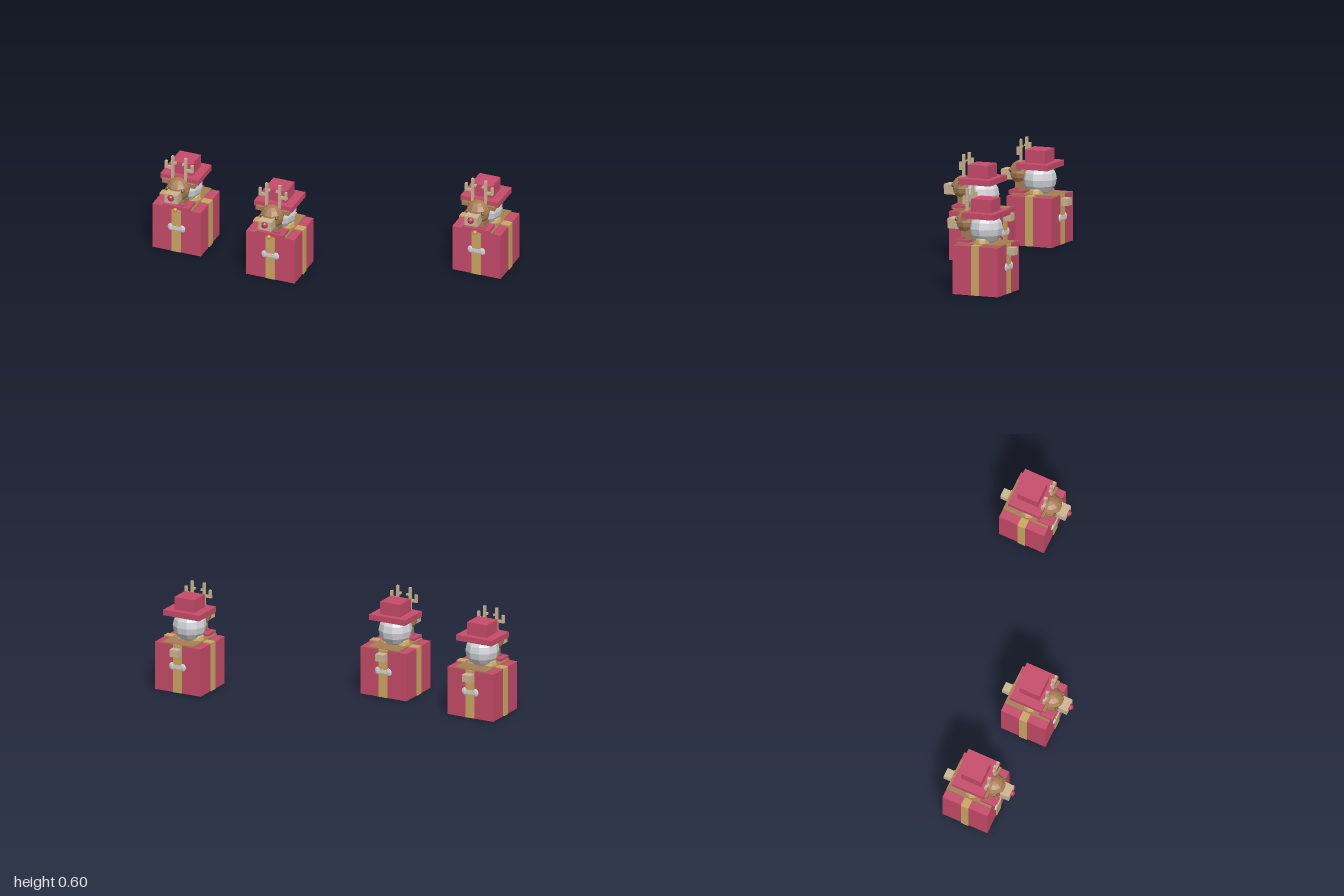
import * as THREE from 'three';

const mat = (name, color) => {
  const m = new THREE.MeshStandardMaterial({ color, flatShading: true });
  m.name = name;
  return m;
};

export function createModel() {
  const red = mat('giftRed', 0xc64b69);
  const gold = mat('ribbonGold', 0xcaa862);
  const bellGold = mat('bellGold', 0xd0a044);
  const brown = mat('furBrown', 0xa87d54);
  const tan = mat('antlerTan', 0xcbb592);
  const white = mat('snowWhite', 0xd2d4d8);
  const dark = mat('eyeBrown', 0x7d5a3a);
  const noseRed = mat('noseRed', 0xc03858);

  // One reindeer gift box with its centre on the origin
  function reindeerGift() {
    const g = new THREE.Group();
    const add = (name, geo, m, x, y, z) => {
      const mesh = new THREE.Mesh(geo, m);
      mesh.name = name;
      mesh.position.set(x, y, z);
      g.add(mesh);
      return mesh;
    };
    // Box given by its centre in x and z, and its lower and upper y
    const box = (name, m, w, y0, y1, d, x = 0, z = 0) =>
      add(name, new THREE.BoxGeometry(w, y1 - y0, d), m, x, (y0 + y1) / 2, z);
    const ball = (name, m, r, x, y, z, ws = 10, hs = 8) =>
      add(name, new THREE.SphereGeometry(r, ws, hs), m, x, y, z);

    // Gift box and crossed ribbons
    box('giftBox', red, 0.3, 0, 0.284, 0.282);
    box('sideRibbon', gold, 0.312, 0.001, 0.29, 0.047);
    box('frontRibbon', gold, 0.056, 0.001, 0.289, 0.292);
    box('backFur', brown, 0.2, 0.28, 0.292, 0.281);

    // White bows on front and back
    for (const s of [1, -1]) {
      box('bowBar', white, 0.08, 0.146, 0.168, 0.008, 0, s * 0.145);
      for (const k of [1, -1]) {
        const end = ball('bowEnd', white, 0.02, k * 0.036, 0.157, s * 0.143, 8, 6);
        end.scale.set(0.95, 1.15, 0.4);
      }
    }

    // Gold knots below the snowball
    for (const s of [1, -1]) ball('knot', gold, 0.045, s * 0.05, 0.29, 0, 8, 6);

    // Snowball and hat
    ball('snowball', white, 0.098, 0, 0.372, 0);
    box('hatBrim', red, 0.235, 0.437, 0.47, 0.2);
    box('hatCrown', red, 0.13, 0.47, 0.545, 0.126);

    // Neck, scarf and bell
    box('neck', brown, 0.09, 0.284, 0.37, 0.07, 0, 0.1);
    box('scarf', red, 0.17, 0.285, 0.307, 0.09, 0, 0.112);
    box('scarfKnot', red, 0.11, 0.3, 0.315, 0.03, 0, 0.127);
    ball('bell', bellGold, 0.013, 0, 0.285, 0.163, 8, 6);

    // Head
    ball('head', brown, 0.07, 0, 0.402, 0.115);
    box('muzzle', tan, 0.08, 0.36, 0.418, 0.085, 0, 0.182);
    ball('nose', noseRed, 0.02, 0, 0.398, 0.227, 8, 6);

    // Eyes, ears and antlers, mirrored
    for (const s of [1, -1]) {
      ball('eye', dark, 0.012, s * 0.048, 0.418, 0.162, 8, 6);
      box('ear', brown, 0.06, 0.421, 0.445, 0.026, s * 0.072, 0.103);
      box('antlerPost', tan, 0.015, 0.44, 0.6, 0.015, s * 0.04, 0.1);
      box('antlerBar', tan, 0.048, 0.515, 0.53, 0.014, s * 0.064, 0.1);
      box('antlerTine', tan, 0.015, 0.515, 0.562, 0.015, s * 0.08, 0.1);
      box('antlerSpur', tan, 0.02, 0.55, 0.562, 0.014, s * 0.028, 0.1);
    }

    // Tail
    box('tail', tan, 0.055, 0.228, 0.27, 0.05, 0, -0.165);
    return g;
  }

  const model = new THREE.Group();
  model.name = 'reindeerGifts';
  for (const [x, z] of [[-0.842, 0.14], [-0.226, 0.223], [0.842, -0.28]]) {
    const gift = reindeerGift();
    gift.name = 'reindeerGift';
    gift.position.set(x, 0, z);
    model.add(gift);
  }
  return model;
}
